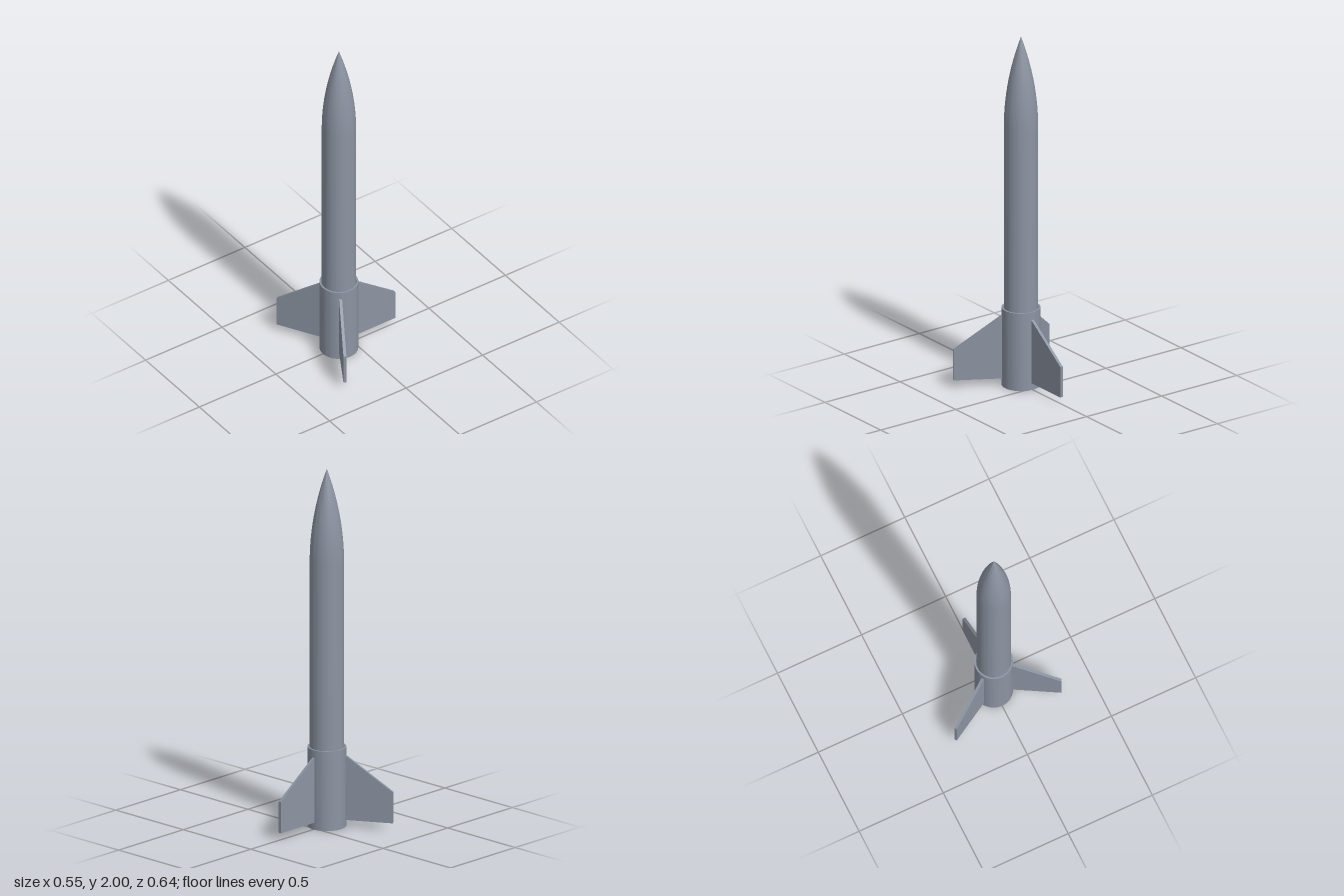
import * as THREE from 'three';
import { toCreasedNormals } from 'three/addons/utils/BufferGeometryUtils.js';

const BODY_R = 0.092, COLLAR_R = 0.104, NOSE_Y = 1.48;

export function createModel() {
  const group = new THREE.Group();
  const grey = new THREE.MeshStandardMaterial({ color: 0x8c94a2 });
  grey.name = 'slateGrey';

  function add(name, geometry, parent = group) {
    const mesh = new THREE.Mesh(geometry, grey);
    mesh.name = name;
    parent.add(mesh);
    return mesh;
  }
  function lathe(points) {
    const profile = points.map(([r, y]) => new THREE.Vector2(r, y));
    return toCreasedNormals(new THREE.LatheGeometry(profile, 64), Math.PI / 6);
  }
  // Hollow tube with a closed wall
  const tube = (inner, outer, y0, y1) =>
    lathe([[inner, y1], [inner, y0], [outer, y0], [outer, y1], [inner, y1]]);

  add('bodyTube', tube(0.086, BODY_R, 0, NOSE_Y));
  add('finCollar', tube(0.094, COLLAR_R, 0, 0.445));

  // Nose cone: parabolic ogive on a flat base
  const ogive = [[0, NOSE_Y]];
  for (let i = 0; i <= 16; i++) {
    const t = i / 16;
    ogive.push([BODY_R * (1 - t * t), NOSE_Y + (2 - NOSE_Y) * t]);
  }
  add('noseCone', lathe(ogive));

  // Three swept fins, each a thin plate rooted in the collar
  const outline = new THREE.Shape([
    [0.1, 0.04], [0.364, 0.04], [0.364, 0.215], [0.104, 0.402], [0.1, 0.402],
  ].map(([x, y]) => new THREE.Vector2(x, y)));
  const thickness = 0.016;
  const finGeometry = new THREE.ExtrudeGeometry(outline, { depth: thickness, bevelEnabled: false });
  finGeometry.translate(0, 0, -thickness / 2);
  for (let i = 0; i < 3; i++) {
    add('fin' + (i + 1), finGeometry).rotation.y = (i * Math.PI * 2) / 3;
  }

  // The lone side fin shifts the body axis off centre
  group.children.forEach((part) => { part.position.x = -0.088; });
  return group;
}
